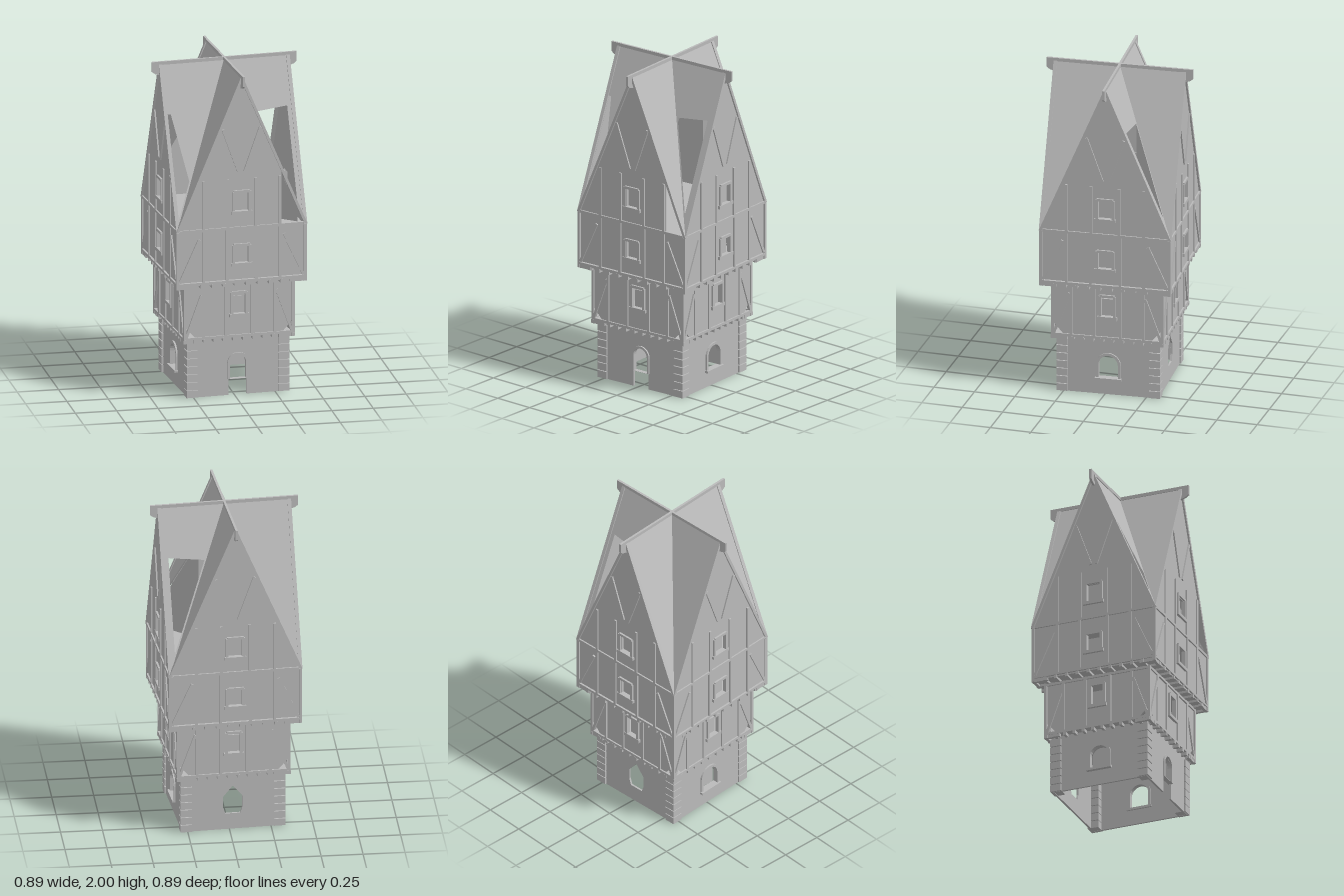
import * as THREE from 'three';

const stone = new THREE.MeshStandardMaterial({ color: 0xbababa, side: THREE.DoubleSide });
stone.name = 'plain grey';

const poly = (pts, Kind = THREE.Shape) => new Kind(pts.map(p => new THREE.Vector2(...p)));

function add(parent, name, geo, x = 0, y = 0, z = 0) {
  const m = new THREE.Mesh(geo, stone);
  m.name = name;
  m.position.set(x, y, z);
  parent.add(m);
  return m;
}

const box = (parent, name, w, h, d, x, y, z) => add(parent, name, new THREE.BoxGeometry(w, h, d), x, y, z);

// straight timber lying in the plane of a wall
function beam(parent, name, a, b, z, width = 0.016, depth = 0.018) {
  const dx = b[0] - a[0], dy = b[1] - a[1];
  const m = box(parent, name, width, Math.hypot(dx, dy), depth, (a[0] + b[0]) / 2, (a[1] + b[1]) / 2, z);
  m.rotation.z = -Math.atan2(dx, dy);
}

// flat wall with holes, its outer face at z
function wall(parent, name, outline, holes, z, depth = 0.012) {
  const s = poly(outline);
  holes.forEach(h => s.holes.push(h));
  add(parent, name, new THREE.ExtrudeGeometry(s, { depth, bevelEnabled: false }), 0, 0, z - depth);
}

const rect = (x0, y0, x1, y1) => [[x0, y0], [x1, y0], [x1, y1], [x0, y1]];

// round-headed outline, half width r, from y0 up to top
function arch(r, y0, top, Kind) {
  const pts = [[-r, y0], [r, y0]];
  for (let i = 0; i <= 12; i++) {
    const a = i / 12 * Math.PI;
    pts.push([r * Math.cos(a), top - r + r * Math.sin(a)]);
  }
  return poly(pts, Kind);
}

function archFrame(parent, name, r, t, y0, top, z) {
  const s = arch(r, y0, top);
  s.holes.push(arch(r - t, y0 + 0.001, top - t, THREE.Path));
  add(parent, name, new THREE.ExtrudeGeometry(s, { depth: 0.03, bevelEnabled: false }), 0, 0, z - 0.02);
}

// square window frame with sill and recessed pane
function squareWindow(parent, y0, y1, hw, z, paneTop) {
  for (const s of [-1, 1]) beam(parent, 'windowJamb', [s * hw, y0], [s * hw, y1], z, 0.016, 0.024);
  beam(parent, 'windowLintel', [-hw, y1], [hw, y1], z, 0.016, 0.024);
  box(parent, 'windowSill', hw * 2 + 0.03, 0.02, 0.03, 0, y0, z);
  box(parent, 'windowPane', hw * 2, paneTop - y0, 0.006, 0, (y0 + paneTop) / 2, z - 0.03);
}

// row of joist ends under an overhang
function joists(parent, half, y, h) {
  const n = 12;
  for (let i = 0; i < n; i++) {
    const x = (i / (n - 1) * 2 - 1) * (half - 0.012);
    box(parent, 'joist', 0.018, h, 0.1, x, y + h / 2, half - 0.05);
  }
}

// one roof slope, drawn in plan then lifted to the ridge
function roofSlope(parent, s, hole) {
  const plan = poly([[0, 0], [s * 0.4, 0.4], [0, 0.4]]);
  if (hole) plan.holes.push(poly(hole.map(([x, z]) => [s * x, z]), THREE.Path));
  const geo = new THREE.ShapeGeometry(plan);
  const p = geo.attributes.position;
  for (let k = 0; k < p.count; k++) {
    const x = p.getX(k), z = p.getY(k);
    p.setXYZ(k, x, 1.985 - 0.935 * Math.abs(x) / 0.4, z);
  }
  // keep the triangles facing upward
  const a = geo.index.array;
  for (let k = 0; k < a.length; k += 3) [a[k], a[k + 1]] = [a[k + 1], a[k]];
  geo.computeVertexNormals();
  add(parent, 'roofSlope', geo);
}

// openings in the roof, in plan
const wideHole = [[0.13, 0.14], [0.345, 0.355], [0.12, 0.355]];
const narrowHole = [[0.28, 0.29], [0.375, 0.385], [0.12, 0.385], [0.12, 0.36]];

function buildSide(i) {
  const g = new THREE.Group();
  g.name = ['frontSide', 'leftSide', 'backSide', 'rightSide'][i];
  g.rotation.y = i * Math.PI / 2;

  // stone base
  const B = 0.305;
  if (i === 0) {
    wall(g, 'doorWall', [[-B, 0], [-0.055, 0], [-0.055, 0.2], [-0.04, 0.23], [0, 0.25],
      [0.04, 0.23], [0.055, 0.2], [0.055, 0], [B, 0], [B, 0.36], [-B, 0.36]], [], B);
    archFrame(g, 'doorArch', 0.064, 0.014, 0.1, 0.262, B);
  } else if (i === 2) {
    wall(g, 'backBaseWall', rect(-B, 0, B, 0.36),
      [poly([[-0.045, 0.1], [0.045, 0.1], [0.058, 0.14], [0.058, 0.21], [0, 0.28], [-0.058, 0.21], [-0.058, 0.14]], THREE.Path)], B);
  } else {
    wall(g, 'sideBaseWall', rect(-B, 0, B, 0.36), [arch(0.06, 0.1, 0.25, THREE.Path)], B);
    archFrame(g, 'sideArch', 0.075, 0.016, 0.1, 0.265, B);
    box(g, 'sideSill', 0.16, 0.014, 0.045, 0, 0.1, B);
    if (i === 3) add(g, 'archPane', new THREE.ShapeGeometry(arch(0.06, 0.1, 0.25)), 0, 0, B - 0.03);
  }
  for (let k = 0; k < 7; k++) box(g, 'cornerStone', 0.068, 0.044, 0.068, B - 0.024, 0.024 + k * 0.049, B - 0.024);

  // middle storey
  const M = 0.333;
  joists(g, 0.343, 0.345, 0.022);
  wall(g, 'middleWall', [[-M + 0.07, 0.37], [M - 0.07, 0.37], [M, 0.45], [M, 0.7], [-M, 0.7], [-M, 0.45]],
    [poly(rect(-0.04, 0.5, 0.04, 0.64), THREE.Path)], M);
  squareWindow(g, 0.5, 0.64, 0.045, M, 0.61);
  beam(g, 'middleSillBeam', [-M, 0.372], [M, 0.372], M);
  beam(g, 'middleTopBeam', [-M, 0.692], [M, 0.692], M);
  for (const s of [-1, 1]) {
    beam(g, 'middleCornerPost', [s * M, 0.365], [s * M, 0.7], M);
    beam(g, 'middlePost', [s * 0.08, 0.37], [s * 0.08, 0.7], M);
    beam(g, 'middlePost', [s * 0.22, 0.37], [s * 0.22, 0.7], M);
    beam(g, 'middleBrace', [s * 0.325, 0.38], [s * 0.23, 0.64], M);
  }

  // upper storey
  const U = 0.391;
  joists(g, 0.398, 0.698, 0.022);
  wall(g, 'upperWall', rect(-U, 0.738, U, 1.05), [poly(rect(-0.04, 0.83, 0.04, 0.95), THREE.Path)], U);
  squareWindow(g, 0.83, 0.95, 0.05, U, 0.93);
  beam(g, 'upperSillBeam', [-U, 0.728], [U, 0.728], U, 0.014);
  beam(g, 'upperTopBeam', [-0.398, 1.055], [0.398, 1.055], U, 0.016);
  for (const s of [-1, 1]) {
    beam(g, 'upperCornerPost', [s * U, 0.7], [s * U, 1.05], U);
    beam(g, 'upperPost', [s * 0.09, 0.73], [s * 0.09, 1.05], U);
    beam(g, 'upperPost', [s * 0.235, 0.73], [s * 0.235, 1.05], U);
    beam(g, 'upperBrace', [s * 0.38, 0.74], [s * 0.26, 1.0], U);
  }

  // gable, open at one lower corner on the front
  const outline = i === 0
    ? [[-0.39, 1.05], [0.245, 1.05], [0.245, 1.4], [0, 1.97]]
    : [[-0.39, 1.05], [0.39, 1.05], [0, 1.97]];
  wall(g, 'gableWall', outline, [poly(rect(-0.04, 1.16, 0.04, 1.27), THREE.Path)], U);
  squareWindow(g, 1.15, 1.28, 0.05, U, 1.28);
  for (const s of [-1, 1]) {
    beam(g, 'bargeBoard', [s * 0.395, 1.05], [0, 1.98], U, 0.016, 0.022);
    beam(g, 'gablePost', [s * 0.085, 1.05], [s * 0.085, 1.36], U);
    beam(g, 'gablePost', [s * 0.235, 1.05], [s * 0.235, 1.36], U);
    beam(g, 'gableBrace', [s * 0.115, 1.67], [s * 0.018, 1.4], U);
  }

  // ridge beam with a drooping end
  box(g, 'ridgeBeam', 0.014, 0.02, 0.445, 0, 1.99, 0.2225);
  const end = new THREE.ExtrudeGeometry(poly([[0.39, 1.985], [0.39, 1.915], [0.425, 1.925], [0.445, 1.94], [0.445, 1.985]]),
    { depth: 0.014, bevelEnabled: false });
  add(g, 'ridgeEnd', end, 0.007, 0, 0).rotation.y = -Math.PI / 2;

  // two roof slopes; the left side is open behind both, with a screen down to the attic
  for (const s of [-1, 1]) {
    roofSlope(g, s, i === 1 ? wideHole : i === 3 && s === 1 ? narrowHole : null);
    if (i === 1) {
      const screen = poly([[0.184, 1.05], [0.5, 1.05], [0.5, 1.15], [0.184, 1.68]]);
      add(g, 'valleyScreen', new THREE.ShapeGeometry(screen)).rotation.y = s > 0 ? -Math.PI / 4 : -3 * Math.PI / 4;
    }
  }
  return g;
}

export function createModel() {
  const model = new THREE.Group();
  model.name = 'timberTower';
  const tower = new THREE.Group();
  tower.name = 'tower';
  tower.rotation.y = 0.068; // the tower stands slightly turned
  for (let i = 0; i < 4; i++) tower.add(buildSide(i));

  // floors between the storeys; the base is open below
  box(tower, 'middleFloor', 0.67, 0.008, 0.67, 0, 0.368, 0);
  box(tower, 'upperFloor', 0.78, 0.008, 0.78, 0, 0.716, 0);
  box(tower, 'atticFloor', 0.78, 0.008, 0.78, 0, 1.05, 0);
  model.add(tower);
  return model;
}
